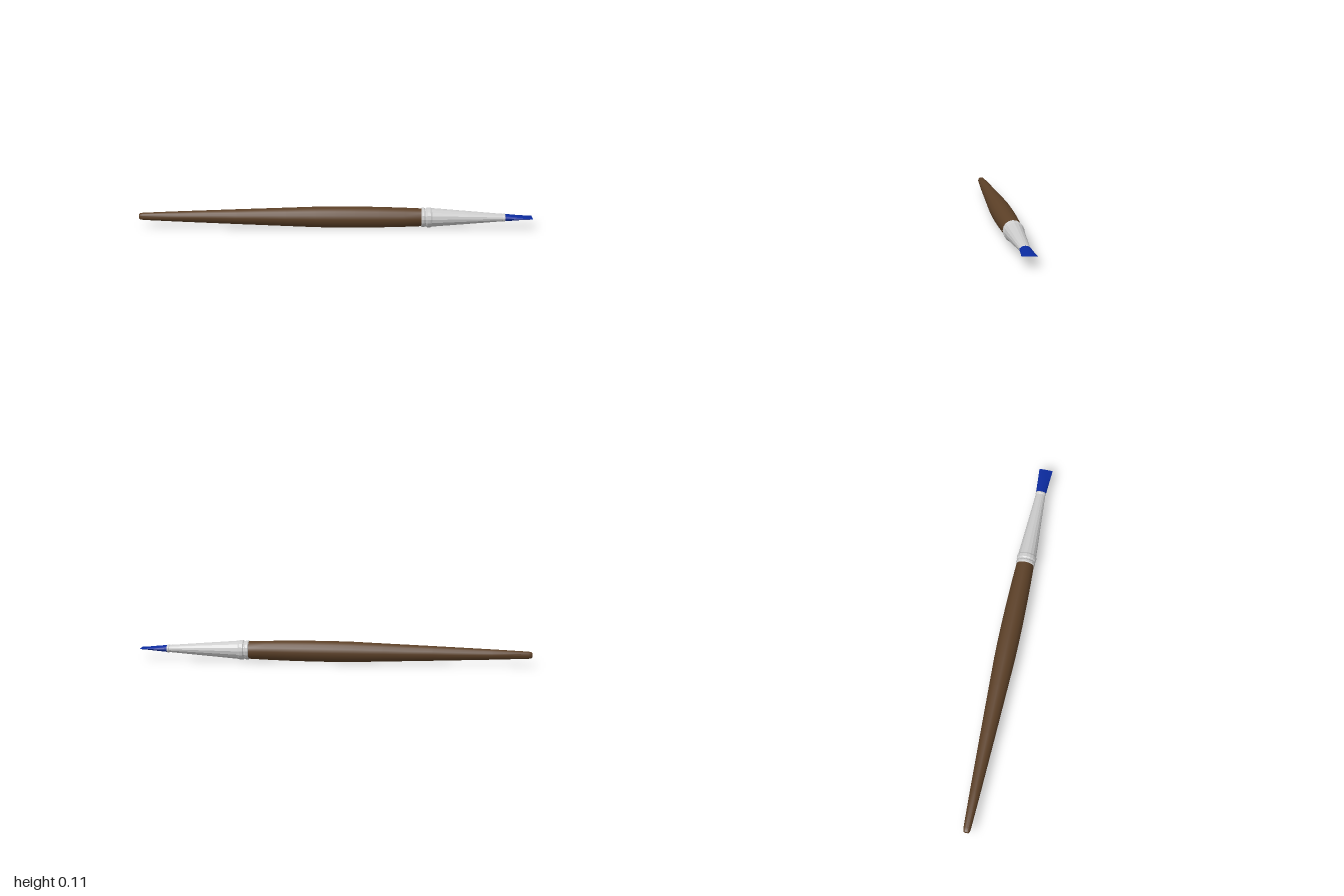
import * as THREE from 'three';
import { toCreasedNormals } from 'three/addons/utils/BufferGeometryUtils.js';

const SIDES = 16;
const AXIS_Y = 0.054;

// Turned part along x; each ring is [x, half height, half width (defaults to half height)]
function turned(name, color, rings, flatShading = false) {
  const profile = rings.map(([x], i) => new THREE.Vector2(1, i));
  let geometry = new THREE.LatheGeometry(profile, SIDES);
  const pos = geometry.attributes.position;
  for (let i = 0; i < pos.count; i++) {
    const [x, ry, rz = ry] = rings[Math.round(pos.getY(i))];
    pos.setXYZ(i, x, -pos.getX(i) * ry, pos.getZ(i) * rz);
  }
  geometry.deleteAttribute('normal');
  geometry = toCreasedNormals(geometry, flatShading ? 0.01 : 0.7);
  const material = new THREE.MeshStandardMaterial({ color, flatShading });
  const mesh = new THREE.Mesh(geometry, material);
  mesh.name = name;
  mesh.position.y = AXIS_Y;
  return mesh;
}

export function createModel() {
  const brush = new THREE.Group();
  brush.name = 'paintbrush';

  // Wooden handle, thickest near the middle with a rounded end
  brush.add(turned('handle', 0x5c4027, [
    [-1, 0], [-1, 0.012], [-0.994, 0.016], [-0.98, 0.0185], [-0.8, 0.0265],
    [-0.5, 0.038], [-0.25, 0.047], [-0.1, 0.0525], [0, 0.054], [0.1, 0.054],
    [0.22, 0.0525], [0.35, 0.049], [0.45, 0.045], [0.45, 0],
  ]));

  // Metal ferrule: two raised beads, then a taper flattening to an oval mouth
  brush.add(turned('ferrule', 0xcccccc, [
    [0.436, 0], [0.436, 0.046], [0.44, 0.05], [0.45, 0.05], [0.455, 0.046],
    [0.46, 0.046], [0.466, 0.051], [0.482, 0.051], [0.49, 0.0475],
    [0.67, 0.033, 0.036], [0.848, 0.0185, 0.0255], [0.852, 0.0205, 0.0275],
    [0.86, 0.0205, 0.0275], [0.862, 0.018, 0.026], [0.862, 0],
  ], true));

  // Bristles: oval root fanning out to a thin straight edge
  brush.add(turned('bristles', 0x0a2a9e, [
    [0.855, 0], [0.855, 0.0185, 0.0265], [0.93, 0.0105, 0.031],
    [1, 0.0006, 0.036], [1, 0],
  ]));

  return brush;
}
